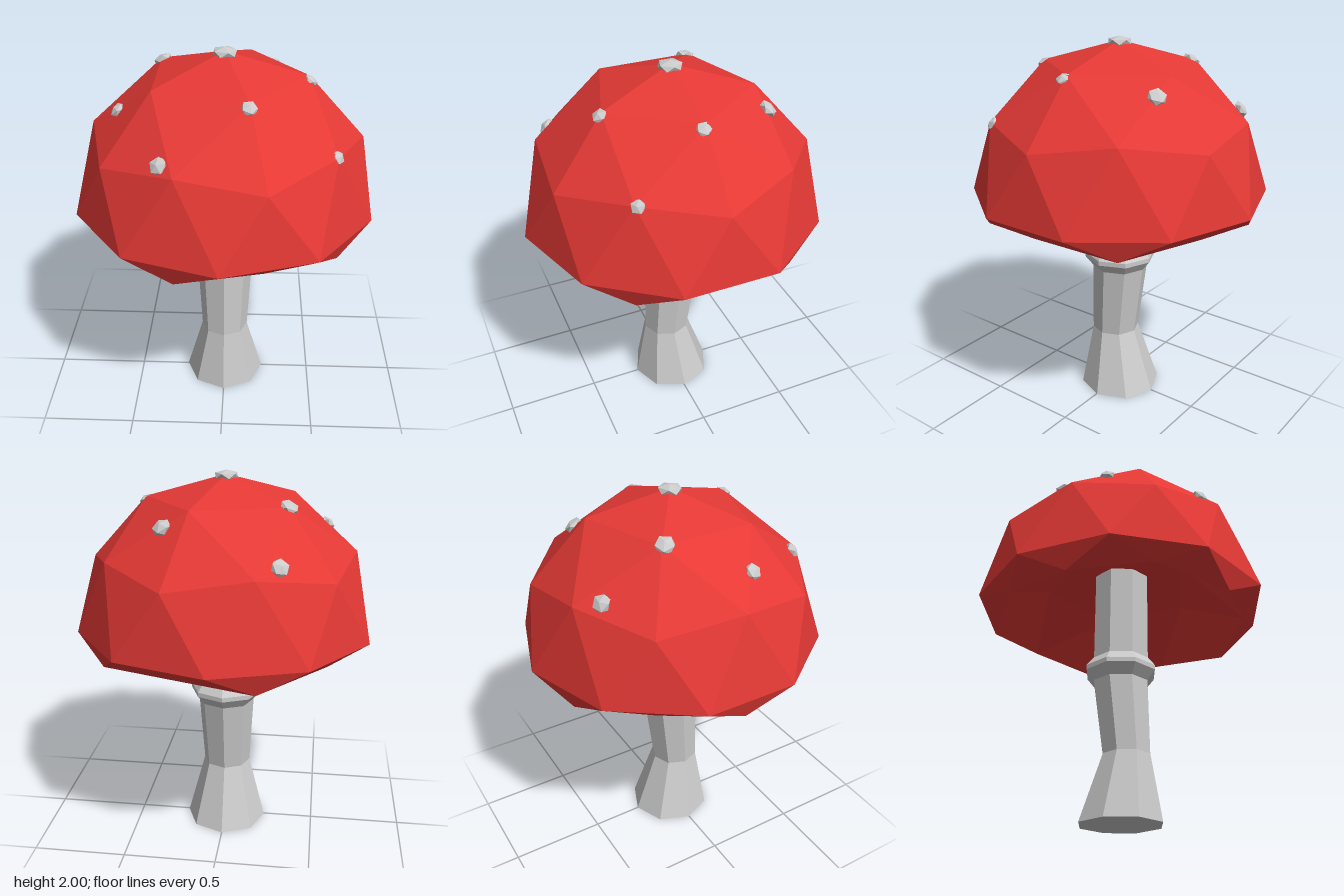
import * as THREE from 'three';

const CAP_RADIUS = 0.79;
const CAP_Y = 1.19;

const grey = new THREE.MeshStandardMaterial({ color: 0xcccccc, flatShading: true });
const red = new THREE.MeshStandardMaterial({ color: 0xe53935, flatShading: true });

function named(name, geometry, material) {
  const mesh = new THREE.Mesh(geometry, material);
  mesh.name = name;
  return mesh;
}

// Icosahedron turned so that one corner points straight up
function uprightIcosahedron(radius, detail) {
  const t = (1 + Math.sqrt(5)) / 2;
  return new THREE.IcosahedronGeometry(radius, detail).rotateZ(-Math.atan(1 / t));
}

// Faceted dome whose lower half is folded up into a hollow underside
function createCap() {
  const geometry = uprightIcosahedron(CAP_RADIUS, 1);
  const pos = geometry.attributes.position;
  for (let i = 0; i < pos.count; i++) {
    const depth = -pos.getY(i);
    if (depth > 0.01) pos.setY(i, -0.12 + 0.8 * (depth - 0.353));
  }
  geometry.computeVertexNormals();
  const cap = named('cap', geometry, red);
  cap.position.y = CAP_Y;
  return cap;
}

// Eight-sided stem with a flared foot, a slight bend and a collar
function createStem() {
  // radius, height, z offset
  const rings = [
    [0, 0, -0.005], [0.223, 0, -0.005], [0.13, 0.35, 0.027],
    [0.153, 0.75, -0.005], [0.196, 0.805, -0.005], [0.196, 0.83, -0.005],
    [0.156, 0.88, -0.004], [0.155, 1.38, 0], [0, 1.38, 0],
  ];
  const geometry = new THREE.LatheGeometry(rings.map(([r, y]) => new THREE.Vector2(r, y)), 8);
  const pos = geometry.attributes.position;
  for (let i = 0; i < pos.count; i++) {
    pos.setZ(i, pos.getZ(i) + rings[i % rings.length][2]);
  }
  geometry.computeVertexNormals();
  return named('stem', geometry, grey);
}

// Flattened pebbles sitting on the cap, each facing outward
function createSpots() {
  const spots = new THREE.Group();
  spots.name = 'spots';
  // x, y, z, radius, thickness ratio
  const layout = [
    [0, 1.973, 0, 0.067, 0.4],
    [-0.33, 1.86, -0.225, 0.052, 0.5],
    [-0.31, 1.645, -0.54, 0.048, 0.5],
    [0.255, 1.785, -0.405, 0.05, 0.5],
    [0.42, 1.842, 0.015, 0.04, 0.55],
    [-0.52, 1.72, 0.13, 0.043, 0.55],
    [0.125, 1.845, 0.4, 0.042, 0.55],
    [-0.275, 1.63, 0.56, 0.047, 0.55],
    [0.54, 1.6, 0.38, 0.038, 0.55],
  ];
  const up = new THREE.Vector3(0, 1, 0);
  for (const [x, y, z, radius, thickness] of layout) {
    const spot = named('spot', uprightIcosahedron(radius, 0), grey);
    spot.scale.y = thickness;
    spot.position.set(x, y, z);
    const outward = new THREE.Vector3(x, y - CAP_Y, z).normalize();
    spot.quaternion.setFromUnitVectors(up, outward);
    spots.add(spot);
  }
  return spots;
}

export function createModel() {
  const model = new THREE.Group();
  model.name = 'mushroom';
  model.add(createStem(), createCap(), createSpots());
  return model;
}
